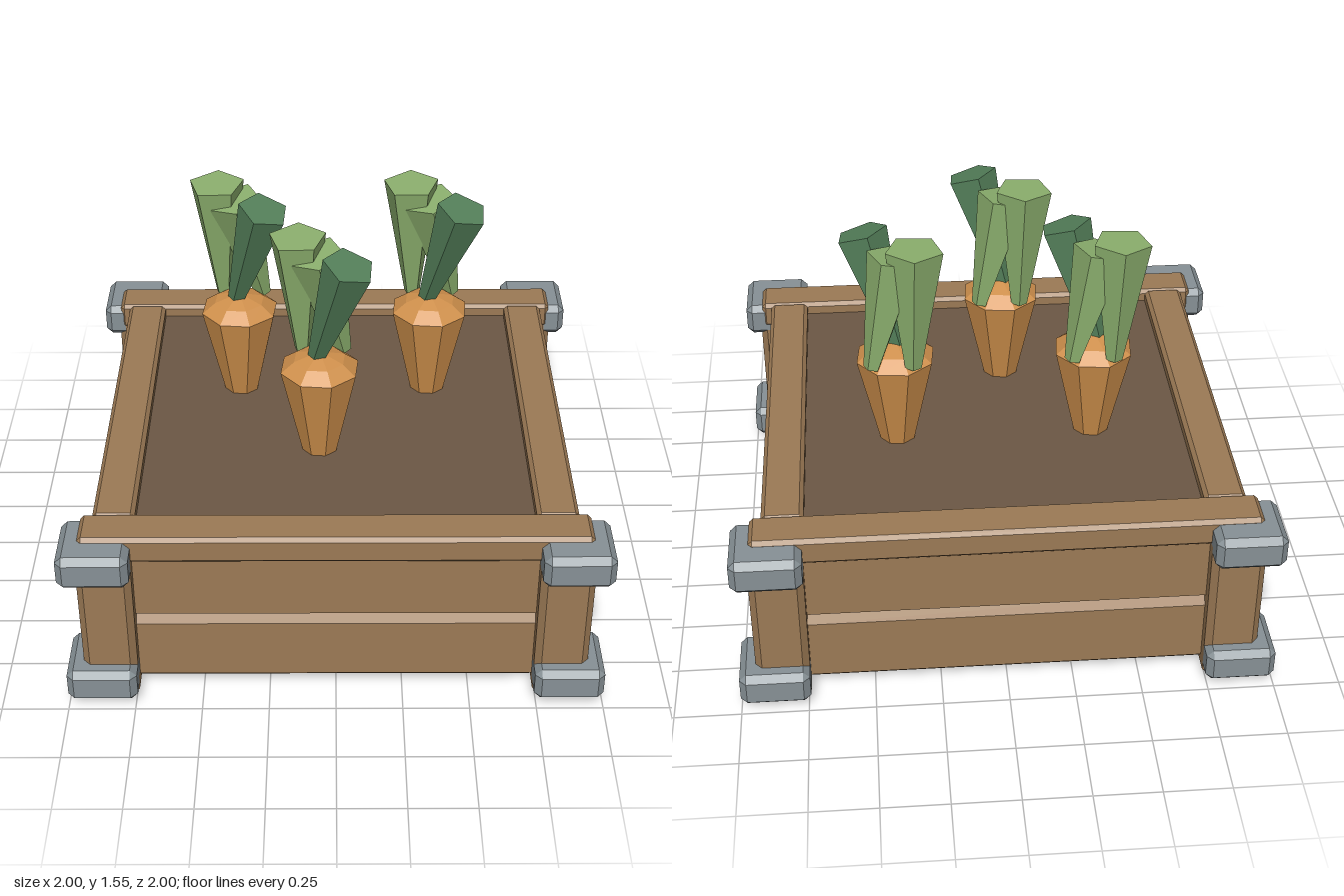
import * as THREE from 'three';
import { ConvexGeometry } from 'three/addons/geometries/ConvexGeometry.js';

const mat = (name, color) => {
  const m = new THREE.MeshStandardMaterial({ color, flatShading: true });
  m.name = name;
  return m;
};

// Box with a single flat chamfer on every edge
function chamferBox(w, h, d, b) {
  const pts = [];
  for (const x of [-1, 1]) for (const y of [-1, 1]) for (const z of [-1, 1]) {
    const [X, Y, Z] = [w / 2, h / 2, d / 2];
    pts.push(
      new THREE.Vector3(x * X, y * (Y - b), z * (Z - b)),
      new THREE.Vector3(x * (X - b), y * Y, z * (Z - b)),
      new THREE.Vector3(x * (X - b), y * (Y - b), z * Z));
  }
  return new ConvexGeometry(pts);
}

export function createModel() {
  const wood = mat('wood', 0x9c7a55);
  const soilMat = mat('soil', 0x6c5845);
  const metal = mat('metal', 0x879196);
  const orange = mat('carrot orange', 0xcf904c);
  const lightGreen = mat('light leaf green', 0x8cb06e);
  const darkGreen = mat('dark leaf green', 0x54805a);

  const model = new THREE.Group();
  model.name = 'carrotPlanter';
  const add = (parent, name, geometry, material, x = 0, y = 0, z = 0) => {
    const mesh = new THREE.Mesh(geometry, material);
    mesh.name = name;
    mesh.position.set(x, y, z);
    parent.add(mesh);
    return mesh;
  };

  // Side walls: two planks with a sloped groove between them
  const profile = new THREE.Shape([
    [0.74, 0.03], [0.84, 0.03], [0.87, 0.06], [0.87, 0.305],
    [0.84, 0.35], [0.87, 0.355], [0.87, 0.64], [0.74, 0.64],
  ].map(([x, y]) => new THREE.Vector2(x, y)));
  const wallGeo = new THREE.ExtrudeGeometry(profile, { depth: 1.6, bevelEnabled: false });
  wallGeo.translate(0, 0, -0.8);
  for (let i = 0; i < 4; i++) add(model, 'wall', wallGeo, wood).rotation.y = i * Math.PI / 2;

  // Floor and soil bed
  add(model, 'floor', new THREE.BoxGeometry(1.68, 0.03, 1.68), wood, 0, 0.046, 0);
  add(model, 'soil', new THREE.BoxGeometry(1.5, 0.1, 1.5), soilMat, 0, 0.62, 0);

  // Top rim boards
  const longRim = chamferBox(1.86, 0.11, 0.16, 0.015);
  const sideRim = chamferBox(0.155, 0.108, 1.5, 0.015);
  for (const s of [-1, 1]) {
    add(model, 'endRim', longRim, wood, 0, 0.665, s * 0.815);
    add(model, 'sideRim', sideRim, wood, s * 0.812, 0.664, 0);
  }

  // Corner posts with metal brackets above and below
  const postGeo = chamferBox(0.2, 0.69, 0.2, 0.025);
  const bracketGeo = chamferBox(0.26, 0.137, 0.26, 0.025);
  for (const x of [-1, 1]) for (const z of [-1, 1]) {
    add(model, 'post', postGeo, wood, x * 0.84, 0.345, z * 0.84);
    for (const y of [0.1, 0.636]) add(model, 'bracket', bracketGeo, metal, x * 0.87, y, z * 0.87);
  }

  // Leaf: five-sided stalk widening from bottom point to top point
  const up = new THREE.Vector3(0, 1, 0);
  function addLeaf(parent, from, to, radius, turn, material) {
    const a = new THREE.Vector3(...from), b = new THREE.Vector3(...to);
    const dir = b.clone().sub(a);
    const geo = new THREE.CylinderGeometry(radius, 0.032, dir.length(), 5);
    geo.rotateY(turn);
    const leaf = add(parent, 'leaf', geo, material);
    leaf.position.copy(a).add(b).multiplyScalar(0.5);
    leaf.quaternion.setFromUnitVectors(up, dir.normalize());
  }

  // Carrots
  for (const [x, z] of [[-0.38, -0.19], [0.375, -0.19], [-0.06, 0.245]]) {
    const carrot = new THREE.Group();
    carrot.name = 'carrot';
    carrot.position.set(x, 0, z);
    model.add(carrot);
    add(carrot, 'root', new THREE.CylinderGeometry(0.153, 0.065, 0.39, 8), orange, 0, 0.84, 0).rotation.y = 0.3;
    add(carrot, 'shoulder', new THREE.CylinderGeometry(0.1, 0.153, 0.04, 8), orange, 0, 1.055, 0).rotation.y = 0.3;
    add(carrot, 'crown', new THREE.ConeGeometry(0.1, 0.03, 8), orange, 0, 1.09, 0).rotation.y = 0.3;
    addLeaf(carrot, [-0.065, 1.05, -0.11], [-0.08, 1.54, -0.09], 0.11, 0.6, lightGreen);
    addLeaf(carrot, [0.09, 1.05, -0.105], [-0.01, 1.49, -0.055], 0.105, 0.1, lightGreen);
    addLeaf(carrot, [-0.015, 1.07, 0], [0.11, 1.52, 0.09], 0.1, 0.9, darkGreen);
  }

  return model;
}
